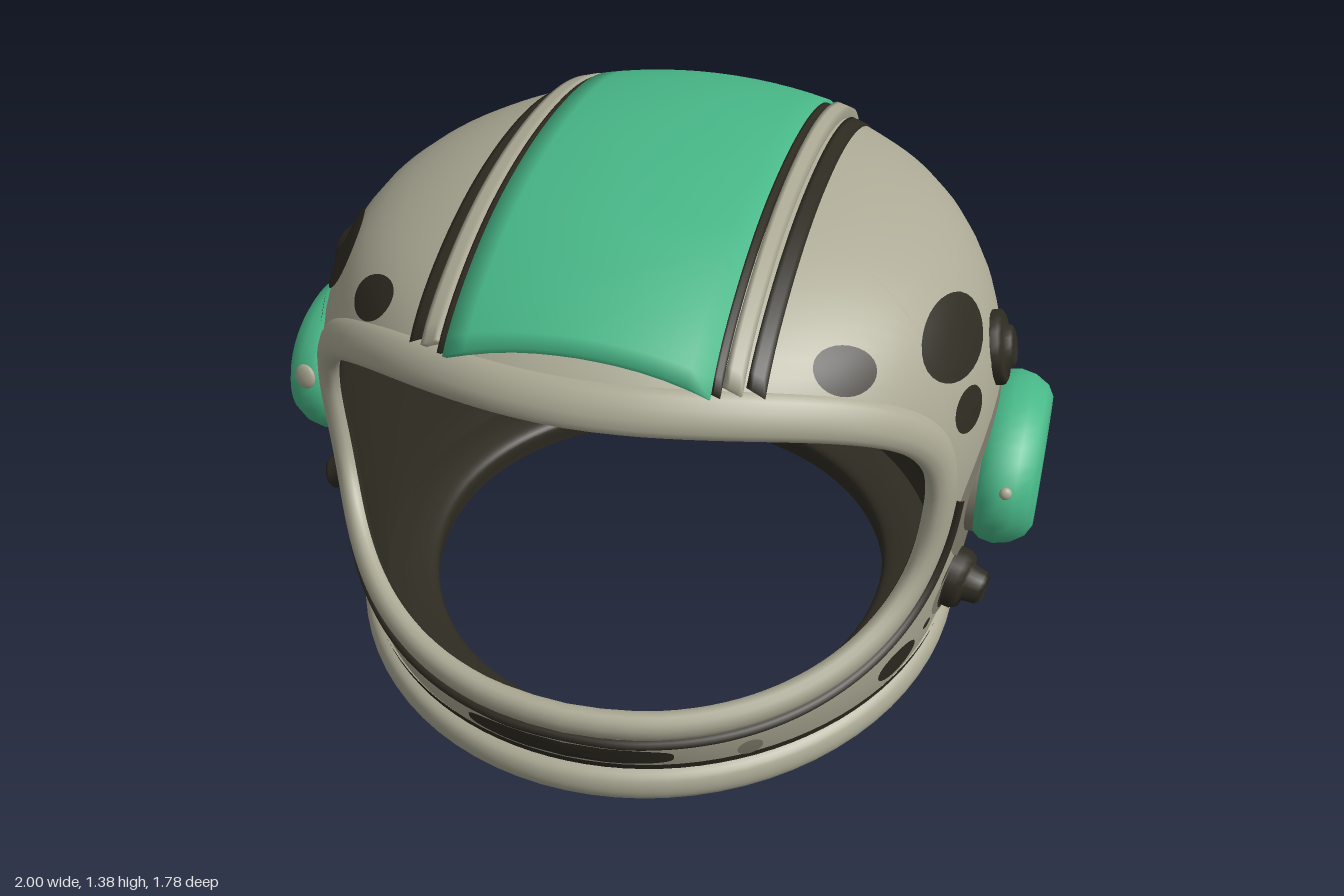
import * as THREE from 'three';
import { mergeGeometries, mergeVertices } from 'three/addons/utils/BufferGeometryUtils.js';

const mat = (name, color) => Object.assign(new THREE.MeshStandardMaterial({ color }), { name });
const V2 = (x, y) => new THREE.Vector2(x, y);
const { sin, cos, PI, abs, sign, pow, hypot, atan2 } = Math;
const { clamp, smoothstep } = THREE.MathUtils;

// Shell outline: radius and height from the neck up to the crown
const profile = new THREE.SplineCurve([
  [0.78, 0.08], [0.81, 0.2], [0.84, 0.4], [0.862, 0.6], [0.87, 0.75], [0.855, 0.9],
  [0.81, 1.03], [0.73, 1.145], [0.6, 1.232], [0.42, 1.303], [0.2, 1.345], [0, 1.355],
].map(p => V2(...p)));

function bisect(lo, hi, isBelow) {
  for (let i = 0; i < 24; i++) {
    const m = (lo + hi) / 2;
    if (isBelow(m)) lo = m; else hi = m;
  }
  return (lo + hi) / 2;
}
const sOfY = y => bisect(0, 1, s => profile.getPointAt(s).y < y);
const S_WIDE = sOfY(0.75);
const sOfR = r => bisect(S_WIDE, 1, s => profile.getPointAt(s).x > r);

// Depth is stretched at the chin and at the back of the head
const frontDepth = y => 1 + 0.08 * (1 - smoothstep(y, 0.1, 0.7));
const backDepth = y => 0.985 + 0.045 * smoothstep(y, 0.1, 0.75);

// Point on the shell at angle th (0 = front) and profile position s, raised by off
function surf(th, s, off = 0) {
  const p = profile.getPointAt(s), t = profile.getTangentAt(s);
  const top = s > 0.999;
  const r = top ? 0 : p.x + off * t.y, y = p.y + off * (top ? 1 : -t.x);
  const c = cos(th);
  return new THREE.Vector3(r * sin(th), y, r * c * (c > 0 ? frontDepth(p.y) : backDepth(p.y)));
}

// Grid surface from fn(u, v); flip turns it inside out, mirror swaps left and right
function grid(nu, nv, fn, flip = false, mirror = false) {
  const pos = [], idx = [];
  for (let j = 0; j <= nv; j++) for (let i = 0; i <= nu; i++) {
    const p = fn(i / nu, j / nv);
    pos.push(mirror ? -p.x : p.x, p.y, p.z);
  }
  for (let j = 0; j < nv; j++) for (let i = 0; i < nu; i++) {
    const a = j * (nu + 1) + i, b = a + 1, c = a + nu + 1, d = c + 1;
    if (flip !== mirror) idx.push(a, c, b, b, c, d);
    else idx.push(a, b, c, b, d, c);
  }
  const g = new THREE.BufferGeometry();
  g.setAttribute('position', new THREE.Float32BufferAttribute(pos, 3));
  g.setIndex(idx);
  return g;
}
function smooth(g) {
  g = mergeVertices(g, 1e-4);
  g.computeVertexNormals();
  return g;
}

// Face opening: rounded box in angle and height
const MID = 0.66, HALF = 1.167;
function opening(a, growSide = 1, growDown = 1) {
  const up = sin(a) >= 0, n = up ? 2.6 : 3;
  return [-HALF * growSide * sign(cos(a)) * pow(abs(cos(a)), 2 / n),
    MID + (up ? 0.45 : -0.415 * growDown) * pow(abs(sin(a)), 2 / n)];
}
function shellGeometry(off, flip) {
  const patch = up => {
    const cols = 120;
    const edges = Array.from({ length: cols + 1 }, (_, i) => {
      const u = i / cols;
      const [th, y] = u <= 0.5 ? opening((up ? 1 : -1) * PI * 2 * u)
        : [HALF + (2 * u - 1) * (2 * PI - 2 * HALF), MID];
      return [th, sOfY(y)];
    });
    return grid(cols, 20, (u, v) => {
      const [th, s] = edges[Math.round(u * cols)];
      return surf(th, up ? s + (1 - s) * v : s * v, off);
    }, flip);
  };
  return smooth(mergeGeometries([patch(true), patch(false)]));
}

// Flattened lip that follows the opening; a0 to a1 is the swept part of its cross-section
function rimGeometry(a0, a1) {
  const edge = off => new THREE.CatmullRomCurve3(Array.from({ length: 72 }, (_, i) => {
    const [th, y] = opening(i / 72 * 2 * PI);
    return surf(th, sOfY(y), off);
  }), true);
  const line = edge(0), raised = edge(0.05);
  return smooth(grid(160, 8, (u, v) => {
    const p = line.getPoint(u), n = raised.getPoint(u).sub(p).normalize();
    const inward = line.getTangent(u).cross(n).normalize();
    const width = 0.049 + 0.009 * sin(u * 2 * PI), a = a0 + (a1 - a0) * v;
    return p.addScaledVector(inward, width * cos(a)).addScaledVector(n, -0.018 + 0.032 * sin(a));
  }));
}

export function createModel() {
  const root = new THREE.Group();
  root.name = 'helmet';
  const shellMat = mat('warm grey', 0xacaa95), green = mat('green', 0x48b888);
  const dark = mat('dark brown', 0x2e2b21), shade = mat('mid grey', 0x817e6e);
  const add = (name, g, m, parent = root) => {
    const o = new THREE.Mesh(g, m);
    o.name = name;
    parent.add(o);
    return o;
  };

  add('shell', shellGeometry(0, false), shellMat);
  add('lining', shellGeometry(-0.04, true), dark);

  // Rim around the face opening, its dark underside and the dark groove outside it
  add('openingRim', rimGeometry(-0.25 * PI, PI), shellMat);
  add('openingRimInside', rimGeometry(PI, 1.75 * PI), dark);
  const grooveCurve = new THREE.CatmullRomCurve3(Array.from({ length: 40 }, (_, i) => {
    const [th, y] = opening(PI + 0.005 + (PI - 0.01) * i / 39, 1.075, 1.105);
    return surf(th, sOfY(y), 0.001);
  }));
  add('rimGroove', new THREE.TubeGeometry(grooveCurve, 100, 0.015, 6), dark);

  // Neck ring, tilted up slightly at the back
  const neck = (pts, flip) => {
    const curve = new THREE.CatmullRomCurve3(pts.map(([r, y]) => new THREE.Vector3(r, y, 0)), false, 'centripetal');
    return smooth(grid(80, 24, (u, v) => {
      const p = curve.getPoint(v), th = u * 2 * PI, c = cos(th);
      return new THREE.Vector3(p.x * sin(th), p.y + 0.02 * (1 - c), p.x * c * (c > 0 ? 1.09 : 0.975));
    }, flip));
  };
  add('neckRing', neck([[0.62, 0.03], [0.66, 0.012], [0.76, 0], [0.805, 0.022],
    [0.815, 0.055], [0.805, 0.09], [0.77, 0.11]]), shellMat);
  add('neckRingLining', neck([[0.62, 0.03], [0.62, 0.09], [0.68, 0.11], [0.77, 0.11]], true), dark);
  add('neckGroove', smooth(grid(80, 3, (u, v) => {
    const th = (u - 0.5) * 4.7;
    return surf(th, sOfY(0.098 + 0.02 * (1 - cos(th)) + 0.026 * v), 0.006);
  })), dark);

  // Strips running over the crown, with edges that drop into the shell and a fading back end
  const strip = (name, x0, x1, z0, z1, off, m, nu = 6) => {
    const nv = 50, inset = (u, n) => clamp((u * n - 1) / (n - 2), 0, 1);
    add(name, smooth(grid(nu, nv, (u, v) => {
      const x = x0 + (x1 - x0) * inset(u, nu), z = z0 + (z1 - z0) * inset(v, nv);
      const zz = z / (z > 0 ? 1 : 1.03);
      const edge = u === 0 || u === 1 || v === 0 || v === 1;
      return surf(atan2(x, zz), sOfR(hypot(x, zz)), edge ? -0.01 : off * (1 - 0.7 * smoothstep(v, 0.8, 1)));
    })), m);
  };
  strip('crownPanel', -0.298, 0.298, 0.69, -0.75, 0.028, green, 14);
  for (const k of [1, -1]) {
    const side = k > 0 ? 'left' : 'right';
    const pair = (name, a, b, ...rest) => strip(side + name, Math.min(k * a, k * b), Math.max(k * a, k * b), ...rest);
    pair('PanelGap', 0.298, 0.318, 0.68, -0.68, 0.022, dark);
    pair('CrownRidge', 0.32, 0.36, 0.66, -0.79, 0.028, shellMat);
    pair('CrownLine', 0.369, 0.41, 0.64, -0.68, 0.007, dark);
  }

  // Elliptical plates lying on the shell, placed by depth and height
  const sideAt = (z, y, off) => {
    const s = sOfY(y), r = profile.getPointAt(s).x * (z > 0 ? frontDepth(y) : backDepth(y));
    return surf(Math.acos(clamp(z / r, -1, 1)), s, off);
  };
  const spot = (name, m, z, y, rz, ry, tilt, off, mirror) =>
    add(name, smooth(grid(6, 28, (u, v) => {
      const a = u * rz * cos(v * 2 * PI), b = u * ry * sin(v * 2 * PI);
      return sideAt(z - a * cos(tilt) + b * sin(tilt), y + a * sin(tilt) + b * cos(tilt), off);
    }, false, mirror)), m);

  const knobProfile = [[1, -0.03], [1, 0.025], [0.88, 0.04], [0.62, 0.045], [0.55, 0.075], [0.42, 0.085], [0.3, 0.07], [0, 0.07]];
  const podProfile = [[0.9, 0.055], [0.97, 0.075], [1, 0.11], [0.96, 0.15], [0.86, 0.185], [0.74, 0.2], [0.66, 0.195],
    [0.62, 0.182], [0.58, 0.185], [0.53, 0.195], [0.48, 0.185], [0.45, 0.17], [0, 0.17]];

  for (const k of [1, -1]) {
    const mirror = k < 0, side = mirror ? 'right' : 'left';
    spot(side + 'PodSurround', shade, -0.03, 0.568, 0.31, 0.238, 0, 0.004, mirror);
    spot(side + 'KnobSurround', shade, 0.095, 0.3, 0.18, 0.105, 0, 0.005, mirror);
    for (const [z, y, rz, ry, tilt] of [
      [0.5, 1.12, 0.062, 0.042, 0.35], [0.205, 1.058, 0.145, 0.08, 0.05], [0.255, 0.9, 0.067, 0.054, 0],
      [0.12, 0.3, 0.13, 0.083, 0], [0.4, 0.21, 0.068, 0.048, 0], [0.29, 0.25, 0.016, 0.016, 0],
      [-0.485, 0.9, 0.135, 0.023, 0.62],
    ]) spot(side + 'Spot', dark, z, y, rz, ry, tilt, 0.008, mirror);

    // Small knobs standing on the shell: a flat upper one and a taller lower one
    for (const [z, y, r, h] of [[-0.02, 0.905, 0.094, 0.5], [0.16, 0.31, 0.08, 1.15]]) {
      const p = sideAt(z, y, 0), n = sideAt(z, y, 0.1).sub(p).normalize();
      p.x *= k; n.x *= k;
      const knob = add(side + 'Knob', new THREE.LatheGeometry(knobProfile.map(([a, b]) => V2(a * r, b * h)), 20), dark);
      knob.position.copy(p);
      knob.quaternion.setFromUnitVectors(new THREE.Vector3(0, 1, 0), n);
    }

    // Ear pod on a short neck, with a slatted grille and a worn spot on its front edge
    const pod = new THREE.Group();
    pod.name = side + 'EarPod';
    pod.position.set(k * 0.8, 0.57, -0.04);
    add('podBody', new THREE.LatheGeometry(podProfile.map(([a, h]) => V2(a, h)), 36)
      .scale(0.2, 1, 0.27).rotateZ(-k * PI / 2), green, pod);
    const neckPart = add('podNeck', new THREE.CylinderGeometry(1, 1, 0.05, 36, 1, true)
      .scale(0.182, 1, 0.246).rotateZ(-k * PI / 2), shade, pod);
    neckPart.position.x = k * 0.04;
    const grille = add('grille', new THREE.CylinderGeometry(1, 1, 0.008, 28)
      .scale(0.09, 1, 0.127).rotateZ(-k * PI / 2), dark, pod);
    grille.position.set(k * 0.174, -0.005, 0.005);
    for (const y of [-0.045, 0, 0.045]) {
      const half = 0.12 * Math.sqrt(1 - (y / 0.09) ** 2);
      const slat = add('slat', new THREE.CapsuleGeometry(0.012, half * 2, 4, 8).rotateX(PI / 2), green, pod);
      slat.position.set(k * 0.18, y - 0.005, 0.005);
    }
    const size = mirror ? 0.034 : 0.016;
    const worn = add('wornSpot', new THREE.SphereGeometry(1, 16, 10).scale(size, size, 0.012), shellMat, pod);
    worn.position.set(k * 0.128, 0.065, 0.249);
    worn.rotation.set(-0.25, k * 0.3, 0);
    root.add(pod);
  }

  // Chin slot and a small worn mark beside it
  const chin = (name, m, th, y, rt, ry, p) => add(name, smooth(grid(4, 40, (u, v) => {
    const c = cos(v * 2 * PI), s = sin(v * 2 * PI);
    return surf(th + u * rt * sign(c) * pow(abs(c), p), sOfY(y + u * ry * sign(s) * pow(abs(s), p)), 0.008);
  })), m);
  chin('chinSlot', dark, 0, 0.16, 0.33, 0.028, 0.55);
  chin('chinMark', shade, 0.56, 0.155, 0.04, 0.028, 1);

  return root;
}
